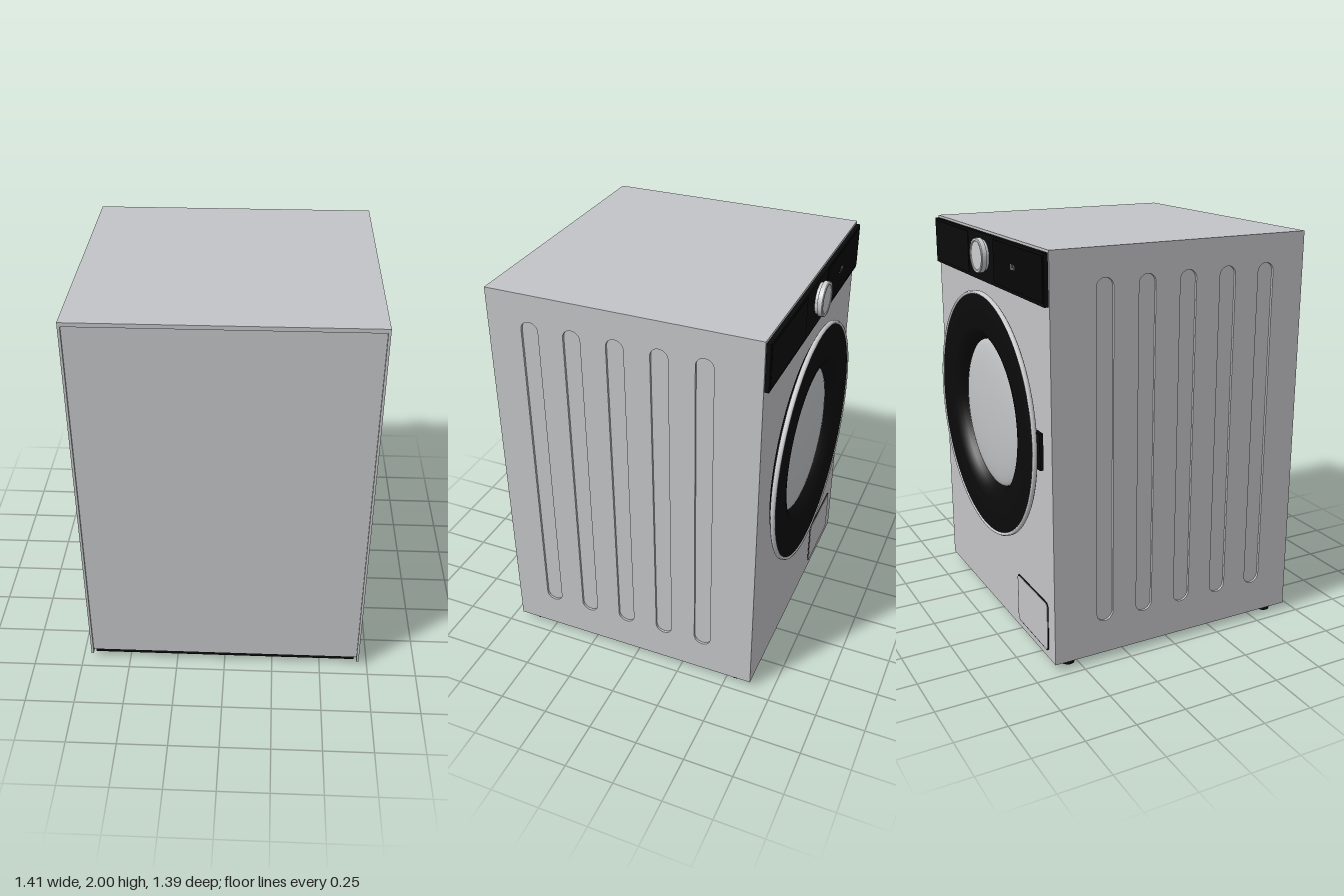
import * as THREE from 'three';
import { toCreasedNormals } from 'three/addons/utils/BufferGeometryUtils.js';

const mat = (name, color) => {
  const m = new THREE.MeshStandardMaterial({ color });
  m.name = name;
  return m;
};

// Capsule or rounded rectangle centred on (cx, cy)
function roundedRect(target, cx, cy, w, h, r) {
  const x = w / 2 - r, y = h / 2 - r;
  target.absarc(cx + x, cy + y, r, 0, Math.PI / 2);
  target.absarc(cx - x, cy + y, r, Math.PI / 2, Math.PI);
  target.absarc(cx - x, cy - y, r, Math.PI, Math.PI * 1.5);
  target.absarc(cx + x, cy - y, r, Math.PI * 1.5, Math.PI * 2);
  target.closePath();
  return target;
}

function rectShape(x0, y0, x1, y1) {
  return new THREE.Shape([[x0, y0], [x1, y0], [x1, y1], [x0, y1]].map(p => new THREE.Vector2(...p)));
}

export function createModel() {
  const group = new THREE.Group();
  group.name = 'washingMachine';
  const grey = mat('cabinetGrey', 0xc3c4c7);
  const black = mat('glossBlack', 0x0b0b0c);
  const silver = mat('silverTrim', 0xcccdcf);
  const glass = mat('doorGlass', 0xc2c4c6);
  const display = mat('displayBlack', 0x060607);

  const add = (name, geo, material, x = 0, y = 0, z = 0) => {
    const m = new THREE.Mesh(geo, material);
    m.name = name;
    m.position.set(x, y, z);
    group.add(m);
    return m;
  };
  // Box given by its two corners
  const box = (name, material, x0, x1, y0, y1, z0, z1) =>
    add(name, new THREE.BoxGeometry(x1 - x0, y1 - y0, z1 - z0), material,
      (x0 + x1) / 2, (y0 + y1) / 2, (z0 + z1) / 2);
  // Turned part whose axis points out of the door side (-z)
  const turned = (name, pts, material, y, z, crease = 0.6) => {
    const geo = new THREE.LatheGeometry(pts.map(p => new THREE.Vector2(...p)), 96);
    const m = add(name, toCreasedNormals(geo, crease), material, 0, y, z);
    m.rotation.x = -Math.PI / 2;
    return m;
  };

  const FACE = -0.635, BACK = 0.695, W = 0.705, SKIN = 0.012;

  // Cabinet: core, lid, and a door-side wall with a round opening
  box('cabinetCore', grey, -W + SKIN, W - SKIN, 0.06, 1.985, -0.6, 0.685);
  box('topPanel', grey, -W, W, 1.98, 2, FACE, BACK);
  const wall = rectShape(-W + SKIN, 0.035, W - SKIN, 1.98);
  wall.holes.push(new THREE.Path().absarc(0, 1.093, 0.48, 0, Math.PI * 2, true));
  add('doorSideWall', new THREE.ExtrudeGeometry(wall, { depth: 0.035, bevelEnabled: false, curveSegments: 48 }),
    grey, 0, 0, FACE);

  // Side panels with five pressed-in grooves each
  for (const s of [1, -1]) {
    const ends = [-s * FACE, -s * BACK];
    const panel = rectShape(Math.min(...ends), 0.035, Math.max(...ends), 1.98);
    for (let i = 0; i < 5; i++) {
      const z = 0.48 - i * 0.2125;
      panel.holes.push(roundedRect(new THREE.Path(), -s * z, 1.035, 0.086, 1.66, 0.0425));
    }
    const geo = new THREE.ExtrudeGeometry(panel, { depth: SKIN, bevelEnabled: false, curveSegments: 10 });
    add(s > 0 ? 'sidePanelLeft' : 'sidePanelRight', geo, grey, s * (W - SKIN)).rotation.y = s * Math.PI / 2;
  }

  // Base plate and feet
  box('basePlate', black, -0.68, 0.68, 0.037, 0.062, -0.6, 0.68);
  for (const x of [-0.645, 0.645]) {
    for (const z of [0.61, -0.543]) {
      add('foot', new THREE.CylinderGeometry(0.032, 0.032, 0.06, 24), black, x, 0.03, z);
    }
  }

  // Control panel with drawer front and display plate
  box('controlPanel', black, -0.695, 0.695, 1.757, 1.988, -0.655, FACE);
  box('drawerFront', black, 0.2, 0.685, 1.772, 1.976, -0.659, -0.655);
  box('displayPlate', display, -0.685, -0.13, 1.772, 1.976, -0.658, -0.655);
  for (let i = 0; i < 3; i++) {
    box('indicator', silver, -0.385 + i * 0.02, -0.378 + i * 0.02, 1.868, 1.892, -0.6595, -0.658);
  }

  // Rotary knob
  turned('knob', [[0.074, 0], [0.076, 0.012], [0.083, 0.014], [0.083, 0.036],
    [0.08, 0.04], [0.07, 0.04], [0.067, 0.037], [0, 0.037]], silver, 1.885, -0.655);

  // Door: black flared frame, silver rim, domed glass
  const doorY = 1.093;
  turned('doorFrame', [[0.5, -0.002], [0.56, 0.008], [0.59, 0.02], [0.604, 0.032], [0.604, 0.046],
    [0.59, 0.049], [0.44, 0.049], [0.41, 0.042], [0.385, 0.015], [0.37, -0.018]], black, doorY, FACE, 0.9);
  turned('doorRim', [[0.595, 0.028], [0.61, 0.028], [0.617, 0.034], [0.617, 0.044],
    [0.612, 0.052], [0.606, 0.053], [0.6, 0.047]], silver, doorY, FACE, 1.0);
  const dome = [];
  for (let i = 0; i <= 12; i++) {
    const a = (i / 12) * Math.PI / 2;
    dome.push([i === 12 ? 0 : 0.376 * Math.cos(a), -0.016 + 0.045 * Math.sin(a)]);
  }
  turned('doorGlass', dome, glass, doorY, FACE, 1.2);
  box('doorHandle', black, -0.645, -0.585, 1.005, 1.18, -0.668, -0.65);

  // Filter cover with a dark outline
  const cover = (name, w, h, r, depth, material) =>
    add(name, new THREE.ExtrudeGeometry(roundedRect(new THREE.Shape(), 0, 0, w, h, r),
      { depth, bevelEnabled: false, curveSegments: 6 }), material, -0.45, 0.197, FACE - depth);
  cover('filterCoverSeam', 0.366, 0.258, 0.025, 0.002, black);
  cover('filterCover', 0.352, 0.244, 0.02, 0.004, grey);

  return group;
}
